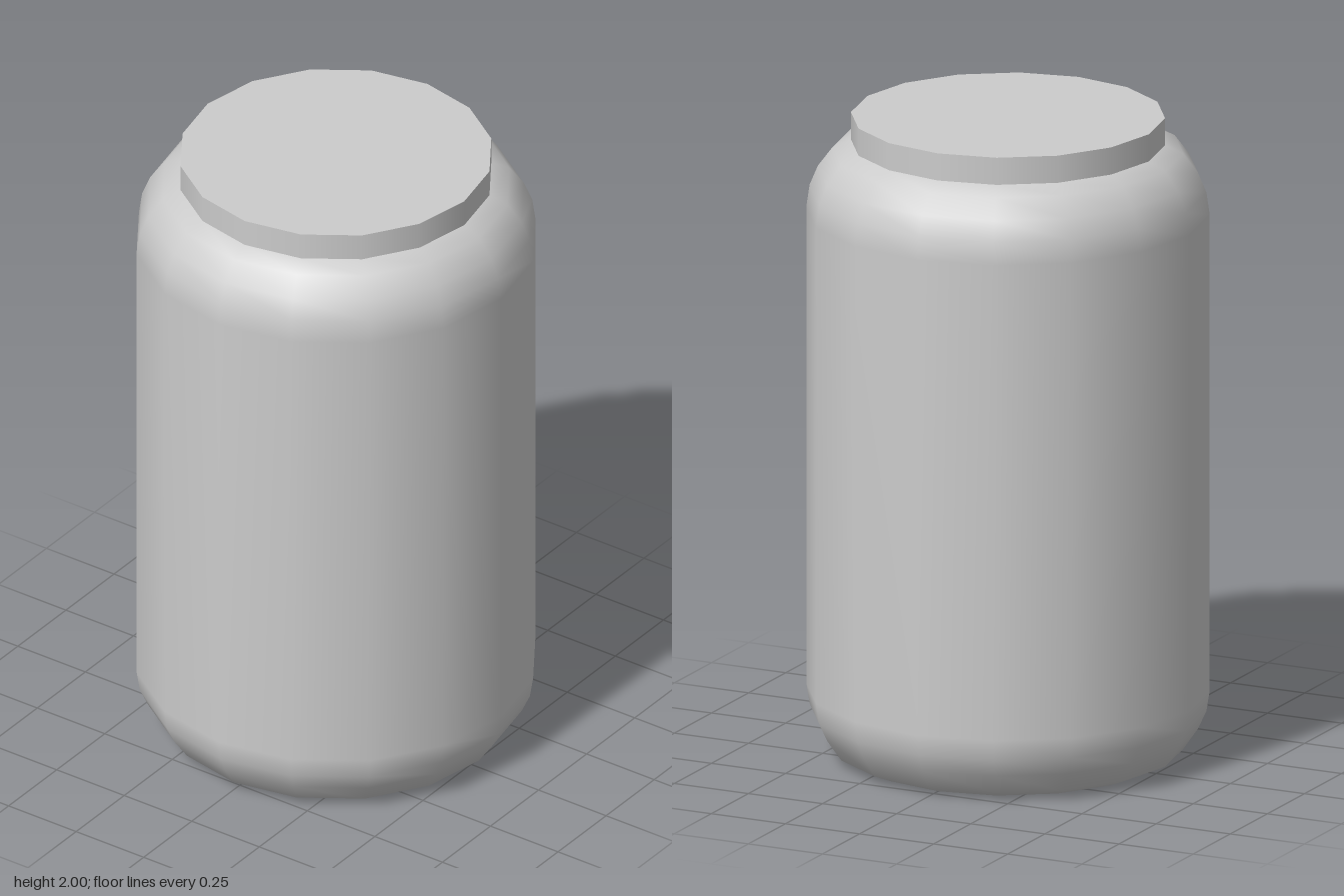
import * as THREE from 'three';

const SIDES = 16;

export function createModel() {
  const group = new THREE.Group();
  const material = new THREE.MeshStandardMaterial({ color: 0xcccccc });
  const add = (name, geometry, y = 0) => {
    const mesh = new THREE.Mesh(geometry, material);
    mesh.name = name;
    mesh.position.y = y;
    group.add(mesh);
    return mesh;
  };

  // Jar body: straight wall with rounded foot and shoulder
  const profile = [
    [0.47, 0], [0.53, 0.025], [0.575, 0.09], [0.6, 0.145], [0.61, 0.21],
    [0.61, 1.7], [0.6, 1.77], [0.575, 1.83], [0.53, 1.89], [0.475, 1.915],
  ].map(([r, y]) => new THREE.Vector2(r, y));
  add('body', new THREE.LatheGeometry(profile, SIDES));

  // Flat underside, vertices lined up with the body
  add('base', new THREE.CircleGeometry(0.47, SIDES)).rotation.x = Math.PI / 2;

  // Shallow lid
  add('lid', new THREE.CylinderGeometry(0.475, 0.475, 0.09, SIDES), 1.955);

  return group;
}
